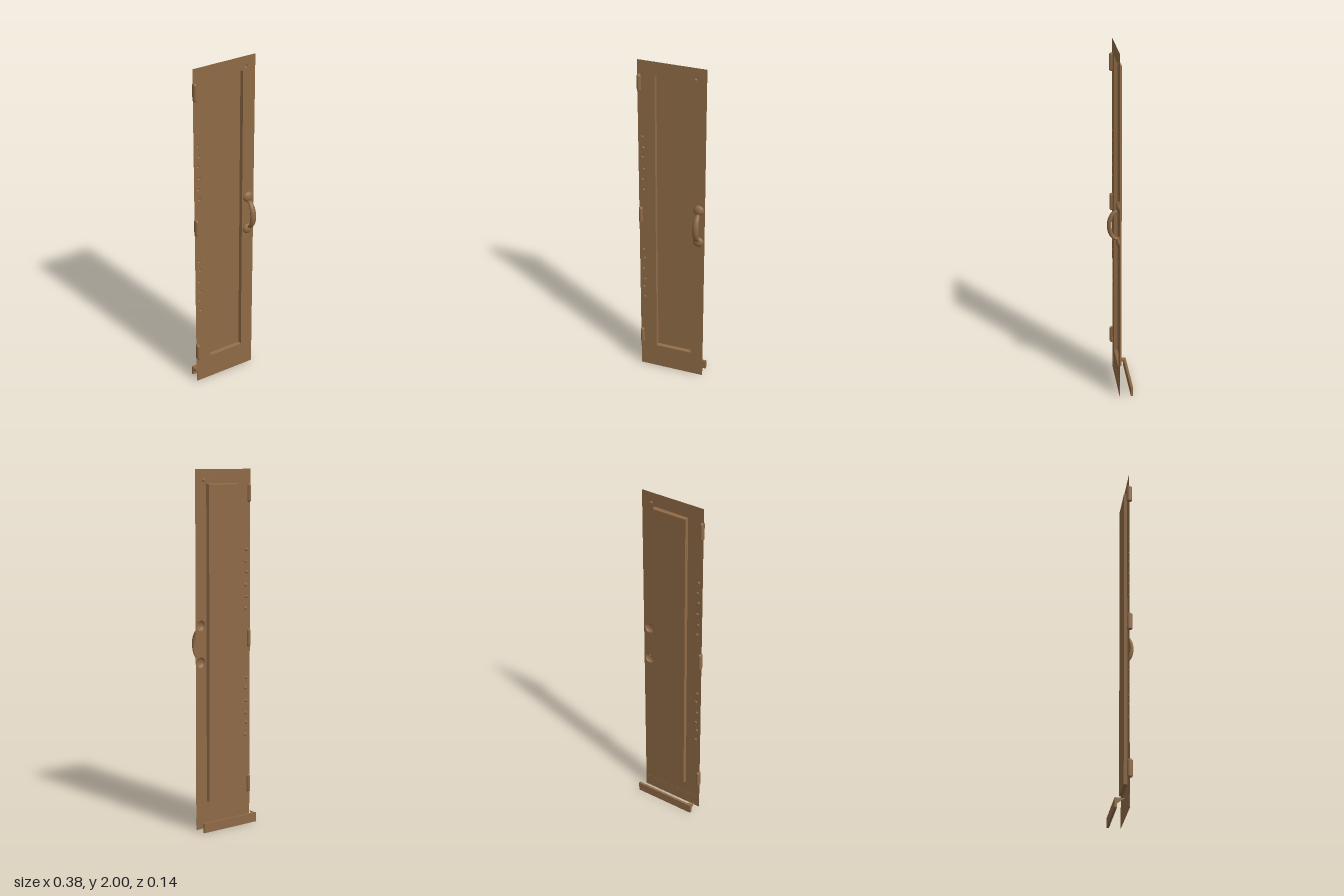
import * as THREE from 'three';

const SHEET_Z = 0.004;

export function createModel() {
  const door = new THREE.Group();
  door.name = 'cabinetDoor';
  const wood = new THREE.MeshStandardMaterial({ color: 0x8f6a46, side: THREE.DoubleSide });
  wood.name = 'brown';

  const add = (name, geometry, x = 0, y = 0, z = 0) => {
    const mesh = new THREE.Mesh(geometry, wood);
    mesh.name = name;
    mesh.position.set(x, y, z);
    door.add(mesh);
    return mesh;
  };

  // Corner points of a rectangle
  const rect = (x0, x1, y0, y1) => [[x0, y0], [x1, y0], [x1, y1], [x0, y1]];
  const path = (Type, pts) => new Type(pts.map(([x, y]) => new THREE.Vector2(x, y)));

  // Hollow cap: bulges towards +z for a positive depth, -z for a negative one
  const cap = (radius, depth, segments) => {
    const pts = [];
    for (let i = 0; i <= 6; i++) {
      const a = (i / 6) * Math.PI / 2;
      pts.push(new THREE.Vector2(radius * Math.cos(a), depth * Math.sin(a)));
    }
    return new THREE.LatheGeometry(pts, segments).rotateX(Math.PI / 2);
  };

  // Front sheet, open at the panel, the handle bosses and the dimples
  const outline = path(THREE.Shape, rect(-0.192, 0.192, 0, 2));
  const outer = rect(-0.096, 0.117, 0.15, 1.922);
  const inner = rect(-0.092, 0.112, 0.155, 1.917);
  outline.holes.push(path(THREE.Path, outer));
  const bosses = [[0.156, 1.15], [0.156, 0.945]];
  const dimples = [[0.135, 1.94]];
  [1.555, 1.49, 1.43, 1.357, 1.29, 1.225, 0.83, 0.77, 0.695, 0.625, 0.57, 0.5]
    .forEach((y, i) => dimples.push([-0.166 + 0.006 * (i % 2), y]));
  const punch = (x, y, r) => {
    const hole = new THREE.Path();
    hole.absarc(x, y, r, 0, Math.PI * 2, true);
    outline.holes.push(hole);
  };
  bosses.forEach(([x, y]) => punch(x, y, 0.029));
  dimples.forEach(([x, y]) => punch(x, y, 0.009));
  add('frontSheet', new THREE.ShapeGeometry(outline, 12), 0, 0, SHEET_Z);

  // Recessed panel: floor and four sloping walls
  add('panelFloor', new THREE.ShapeGeometry(path(THREE.Shape, inner)), 0, 0, -0.015);
  for (let i = 0; i < 4; i++) {
    const j = (i + 1) % 4;
    const quad = [outer[i], outer[j], inner[j], inner[i]]
      .map(([x, y], k) => [x, y, k < 2 ? SHEET_Z : -0.015]);
    const wall = new THREE.BufferGeometry();
    wall.setAttribute('position', new THREE.Float32BufferAttribute(quad.flat(), 3));
    wall.setIndex([0, 1, 2, 0, 2, 3]);
    wall.computeVertexNormals();
    add('panelWall', wall);
  }

  // Hollow bosses and small dimples
  bosses.forEach(([x, y]) => add('handleBoss', cap(0.031, 0.018, 24), x, y, SHEET_Z));
  dimples.forEach(([x, y]) => add('dimple', cap(0.0095, -0.007, 10), x, y, SHEET_Z));

  // Arched grip, swelling in the middle
  const rings = 20, sides = 14, vertices = [], faces = [];
  for (let i = 0; i <= rings; i++) {
    const t = i / rings;
    const a = (t - 0.5) * Math.PI;
    const swell = Math.sin(Math.PI * t);
    const half = 0.010 + 0.008 * swell;
    const depth = 0.008 + 0.005 * swell;
    for (let j = 0; j < sides; j++) {
      const b = (j / sides) * Math.PI * 2;
      const out = depth * Math.cos(b);
      vertices.push(
        0.156 + half * Math.sin(b),
        1.045 + (0.08 + out) * Math.sin(a),
        0.014 + (0.045 + out) * Math.cos(a));
      if (i < rings) {
        const p = i * sides + j, q = i * sides + (j + 1) % sides;
        faces.push(p, q, q + sides, p, q + sides, p + sides);
      }
    }
  }
  const grip = new THREE.BufferGeometry();
  grip.setAttribute('position', new THREE.Float32BufferAttribute(vertices, 3));
  grip.setIndex(faces);
  grip.computeVertexNormals();
  add('handleGrip', grip);

  // Hinge knuckles: rounded half barrels on the left edge
  for (const y of [1.868, 1.055, 0.212]) {
    const knuckle = new THREE.CapsuleGeometry(0.011, 0.082, 5, 14).scale(1, 1, 1.4);
    add('hinge', knuckle, -0.182, y, 0.006);
  }

  // Rear rail and its tapered end bracket
  add('rearRail', new THREE.BoxGeometry(0.371, 0.053, 0.013), 0.0065, 0.0265, -0.0665);
  const gusset = path(THREE.Shape, [[0.06, 0.02], [0.06, 0.052], [0.015, 0.052], [0.035, 0.04]]);
  add('railBracket', new THREE.ShapeGeometry(gusset).rotateY(Math.PI / 2), -0.177, 0, 0);
  const tab = path(THREE.Shape, [[-0.178, 0.06], [-0.148, 0.06], [-0.148, 0.054], [-0.172, 0.048], [-0.176, 0.015]]);
  add('bracketTab', new THREE.ShapeGeometry(tab).rotateX(-Math.PI / 2), 0, 0.052, 0).scale.z = 1;

  // Shallow kick strip along the foot
  add('kickStrip', new THREE.BoxGeometry(0.378, 0.07, 0.002), 0, 0.035, SHEET_Z);
  return door;
}
